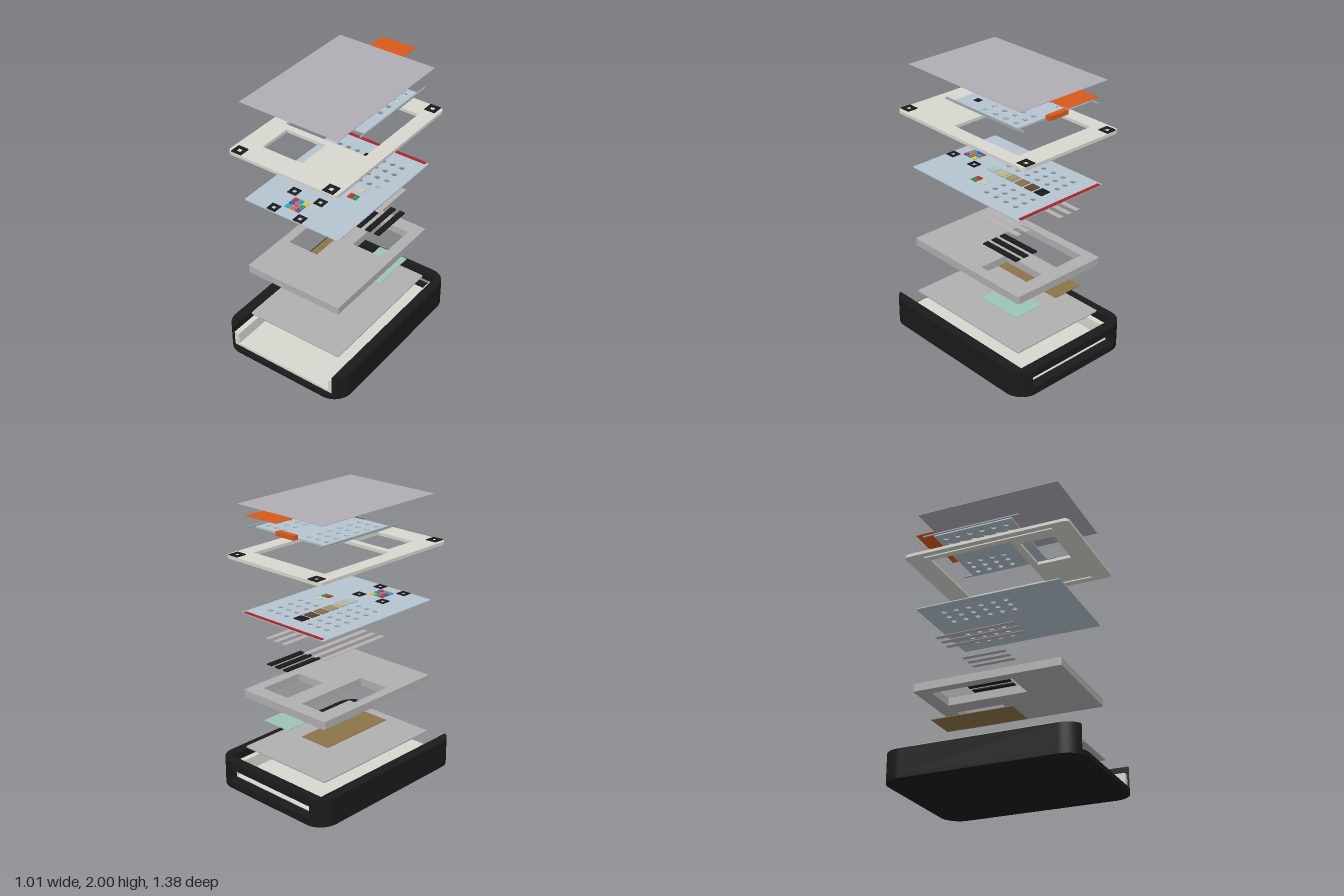
import * as THREE from 'three';

const BLACK = 0x1a1a1a, CREAM = 0xd8d8d0, GREY = 0xb0b0b0, BOARD = 0xb4c4d0, ORANGE = 0xd95a1a;

const mats = {};
function mat(color) {
  return mats[color] ??= new THREE.MeshStandardMaterial({ color, side: THREE.DoubleSide });
}

function add(parent, name, geometry, color) {
  const mesh = new THREE.Mesh(geometry, mat(color));
  mesh.name = name;
  parent.add(mesh);
  return mesh;
}

// Box given by its limits in x, y and z
function box(parent, name, x0, x1, y0, y1, z0, z1, color) {
  const g = new THREE.BoxGeometry(x1 - x0, y1 - y0, z1 - z0);
  g.translate((x0 + x1) / 2, (y0 + y1) / 2, (z0 + z1) / 2);
  return add(parent, name, g, color);
}

// Horizontal plate: the shape's y runs towards the back
function plate(parent, name, shape, y0, y1, color) {
  const g = new THREE.ExtrudeGeometry(shape, { depth: y1 - y0, bevelEnabled: false, curveSegments: 10 });
  g.rotateX(-Math.PI / 2).translate(0, y0, 0);
  return add(parent, name, g, color);
}

function rounded(hx, hz, r) {
  const s = new THREE.Shape();
  s.absarc(hx - r, hz - r, r, 0, Math.PI / 2);
  s.absarc(-hx + r, hz - r, r, Math.PI / 2, Math.PI);
  s.absarc(-hx + r, -hz + r, r, Math.PI, Math.PI * 1.5);
  s.absarc(hx - r, -hz + r, r, Math.PI * 1.5, Math.PI * 2);
  s.closePath();
  return s;
}

function rect(x0, x1, z0, z1, Type = THREE.Path) {
  return new Type([[x0, -z1], [x1, -z1], [x1, -z0], [x0, -z0]].map(p => new THREE.Vector2(...p)));
}

// Square marker with an open centre
function marker(parent, name, x, z, y, size, height) {
  const h = size / 2, i = size * 0.21;
  const s = rect(x - h, x + h, z - h, z + h, THREE.Shape);
  s.holes.push(rect(x - i, x + i, z - i, z + i));
  plate(parent, name, s, y, y + height, BLACK);
}

// Grid of round holes, fewer rows on the +x side
function drill(shape) {
  for (const side of [-1, 1])
    for (const x of [0.11, 0.185, 0.26])
      for (let row = 0; row < (side > 0 ? 4 : 6); row++) {
        const hole = new THREE.Path();
        hole.absarc(side * x, 0.375 - row * 0.093, 0.019, 0, Math.PI * 2, true);
        shape.holes.push(hole);
      }
  return shape;
}

function layer(model, name) {
  const g = new THREE.Group();
  g.name = name;
  model.add(g);
  return g;
}

export function createModel() {
  const model = new THREE.Group();
  model.name = 'explodedDevice';

  // Outer case: floor, two side walls wrapping the corners, slotted back, open front
  const shell = layer(model, 'case');
  plate(shell, 'caseFloor', rounded(0.505, 0.69, 0.14), 0, 0.035, BLACK);
  const wall = new THREE.Shape();
  wall.moveTo(0.43, -0.674);
  wall.absarc(0.365, -0.55, 0.14, Math.atan2(-0.124, 0.065), 0);
  wall.absarc(0.365, 0.55, 0.14, 0, Math.acos(0.025 / 0.14));
  wall.lineTo(0.39, 0.615);
  wall.lineTo(0.43, 0.615);
  wall.closePath();
  for (const side of [1, -1]) {
    plate(shell, 'caseSideWall', wall, 0.035, 0.2, BLACK).scale.x = side;
    box(shell, 'linerSide', side > 0 ? 0.39 : -0.43, side > 0 ? 0.43 : -0.39, 0.035, 0.145, -0.615, 0.66, CREAM);
  }
  box(shell, 'caseBackLintel', -0.39, 0.39, 0.145, 0.2, -0.689, -0.615, BLACK);
  box(shell, 'caseBackSill', -0.39, 0.39, 0.035, 0.05, -0.689, -0.615, BLACK);
  box(shell, 'linerFloor', -0.39, 0.39, 0.035, 0.056, -0.615, 0.66, CREAM);

  // Base plate and the two thin pads above it
  plate(model, 'basePlate', rounded(0.38, 0.53, 0.01), 0.248, 0.257, GREY);
  box(model, 'smallPad', 0.065, 0.3, 0.443, 0.447, -0.425, -0.08, 0x9cc4b8);
  box(model, 'largePad', -0.31, -0.07, 0.443, 0.447, -0.425, 0.16, 0x8c7448);

  // Spacer block with a window over each pad
  const spacer = rounded(0.38, 0.53, 0.01);
  spacer.holes.push(rect(0.065, 0.3, -0.425, -0.08), rect(-0.31, -0.07, -0.425, 0.16));
  plate(model, 'spacerBlock', spacer, 0.635, 0.69, GREY);

  // Dark bars and thin light strips
  for (const x of [0.11, 0.187, 0.262]) {
    box(model, 'darkBar', x - 0.021, x + 0.021, 0.861, 0.87, -0.4, -0.08, BLACK);
    box(model, 'lightStrip', x - 0.019, x + 0.019, 1.058, 1.061, -0.41, -0.08, 0xb8b2b0);
    box(model, 'lightStrip', -x - 0.019, -x + 0.019, 1.058, 1.061, -0.425, 0.16, 0xb8b2b0);
  }

  // Main circuit board with its components
  const board = layer(model, 'mainBoard');
  const top = 1.253;
  plate(board, 'boardPlate', drill(rounded(0.38, 0.53, 0.01)), 1.246, top, BOARD);
  box(board, 'edgeStrip', -0.36, 0.36, top, top + 0.004, -0.53, -0.505, 0xb02028);
  [0x1a1a1a, 0x5a4632, 0x857248, 0x9a9468, 0xb8b48c, 0xa4c4b4].forEach((c, i) => {
    const z = -0.345 + i * 0.093;
    box(board, 'chip', -0.04, 0.04, top, top + 0.006, z - 0.036, z + 0.036, c);
  });
  for (const x of [-0.165, 0.05])
    for (const z of [0.27, 0.49]) marker(board, 'boardMarker', x, z, top, 0.07, 0.005);
  const hues = [0xd03030, 0x20a0c8, 0xe8c820, 0x3060c0, 0xd050a0, 0x30a050, 0x20b0c0, 0xe07020, 0x8040a0];
  hues.forEach((c, i) => {
    const x = -0.1 + (i % 3) * 0.042, z = 0.34 + Math.floor(i / 3) * 0.042;
    box(board, 'colouredKey', x - 0.017, x + 0.017, top, top + 0.006, z - 0.017, z + 0.017, c);
  });
  box(board, 'redPart', 0.15, 0.185, top, top + 0.005, 0.065, 0.115, 0xc03028);
  box(board, 'greenPart', 0.187, 0.22, top, top + 0.005, 0.065, 0.115, 0x309048);
  box(board, 'palePart', 0.17, 0.21, top, top + 0.005, -0.01, 0.03, 0xd8c8a8);

  // Support frame with two openings, corner markers and ribs underneath
  const frame = layer(model, 'supportFrame');
  const outline = rounded(0.427, 0.615, 0.035);
  outline.holes.push(rect(-0.32, 0.32, -0.46, 0.15), rect(-0.27, 0.045, 0.2, 0.45));
  plate(frame, 'framePlate', outline, 1.643, 1.665, CREAM);
  for (const sx of [-1, 1]) {
    for (const sz of [-1, 1]) marker(frame, 'cornerMarker', sx * 0.36, sz * 0.57, 1.665, 0.08, 0.006);
    box(frame, 'frameRib', sx * 0.37 - 0.012, sx * 0.37 + 0.012, 1.634, 1.643, -0.48, 0.48, CREAM);
  }

  // Upper board with side rails and connector
  const upper = layer(model, 'upperBoard');
  plate(upper, 'upperPlate', drill(rect(-0.322, 0.322, -0.44, 0.16, THREE.Shape)), 1.829, 1.84, BOARD);
  for (const s of [-1, 1])
    box(upper, 'sideRail', s * 0.326 - 0.006, s * 0.326 + 0.006, 1.839, 1.849, -0.52, 0.22, 0x9aa4aa);
  box(upper, 'connector', -0.08, 0.08, 1.834, 1.865, -0.49, -0.45, ORANGE);
  box(upper, 'smallChip', 0.18, 0.22, 1.84, 1.845, 0.03, 0.07, BLACK);

  // Top sheet with its flexible tail
  box(model, 'topSheet', -0.38, 0.38, 1.997, 2, -0.54, 0.53, 0xb0aeb4);
  box(model, 'flexTail', -0.133, 0.133, 1.997, 2, -0.69, -0.54, ORANGE);
  return model;
}
